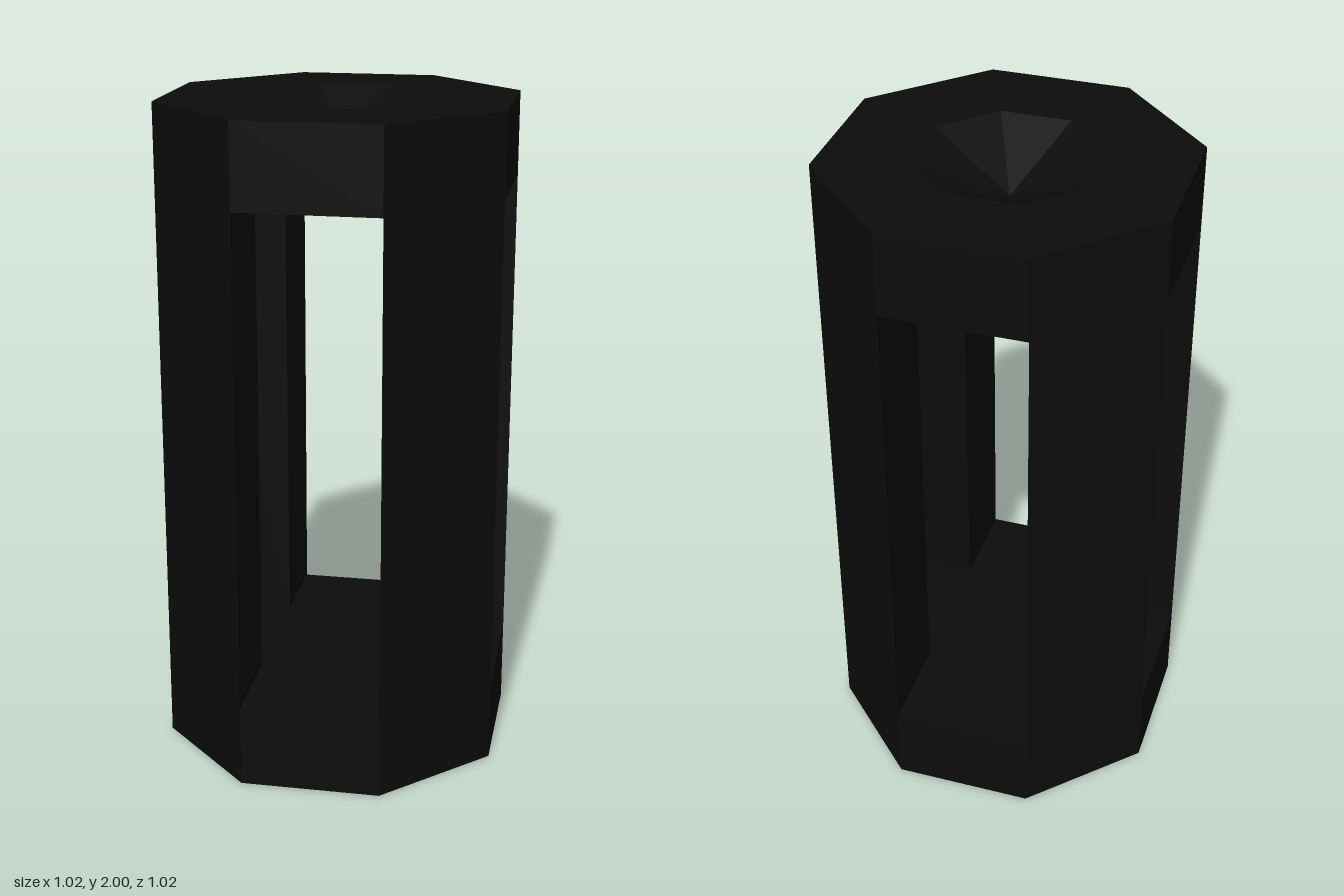
import * as THREE from 'three';

const R = 0.55;                         // octagon corner radius
const A = R * Math.cos(Math.PI / 8);    // centre to flat side
const H = R * Math.sin(Math.PI / 8);    // half of one side
const CAP = 0.25;                       // cap thickness
const DIMPLE_R = R / 2;
const DIMPLE_DEPTH = 0.125;

function flat(geometry) {
  const g = geometry.toNonIndexed();
  g.computeVertexNormals();
  return g;
}

// Octagonal slab with a faceted conical dimple in its top face
function capGeometry() {
  const profile = [
    [0, 0], [R, 0], [R, CAP], [DIMPLE_R, CAP], [0, CAP - DIMPLE_DEPTH],
  ].map(([x, y]) => new THREE.Vector2(x, y));
  return flat(new THREE.LatheGeometry(profile, 8, Math.PI / 8));
}

// Triangular corner post whose long side is a diagonal face of the octagon
function pillarGeometry() {
  const shape = new THREE.Shape([
    new THREE.Vector2(H, H), new THREE.Vector2(A, H), new THREE.Vector2(H, A),
  ]);
  const g = new THREE.ExtrudeGeometry(shape, { depth: 2 - 2 * CAP, bevelEnabled: false });
  g.rotateX(-Math.PI / 2);
  g.translate(0, CAP, 0);
  return g;
}

export function createModel() {
  const group = new THREE.Group();
  group.name = 'octagonalCage';
  const black = new THREE.MeshStandardMaterial({ color: 0x0c0c0c });
  black.name = 'black';

  // Top and bottom caps, dimples facing outwards
  const cap = capGeometry();
  const topCap = new THREE.Mesh(cap, black);
  topCap.name = 'topCap';
  topCap.position.y = 2 - CAP;
  const bottomCap = new THREE.Mesh(cap, black);
  bottomCap.name = 'bottomCap';
  bottomCap.rotation.x = Math.PI;
  bottomCap.position.y = CAP;
  group.add(topCap, bottomCap);

  // Four diagonal pillars
  const post = pillarGeometry();
  for (let i = 0; i < 4; i++) {
    const pillar = new THREE.Mesh(post, black);
    pillar.name = `pillar${i + 1}`;
    pillar.rotation.y = i * Math.PI / 2;
    group.add(pillar);
  }
  return group;
}
